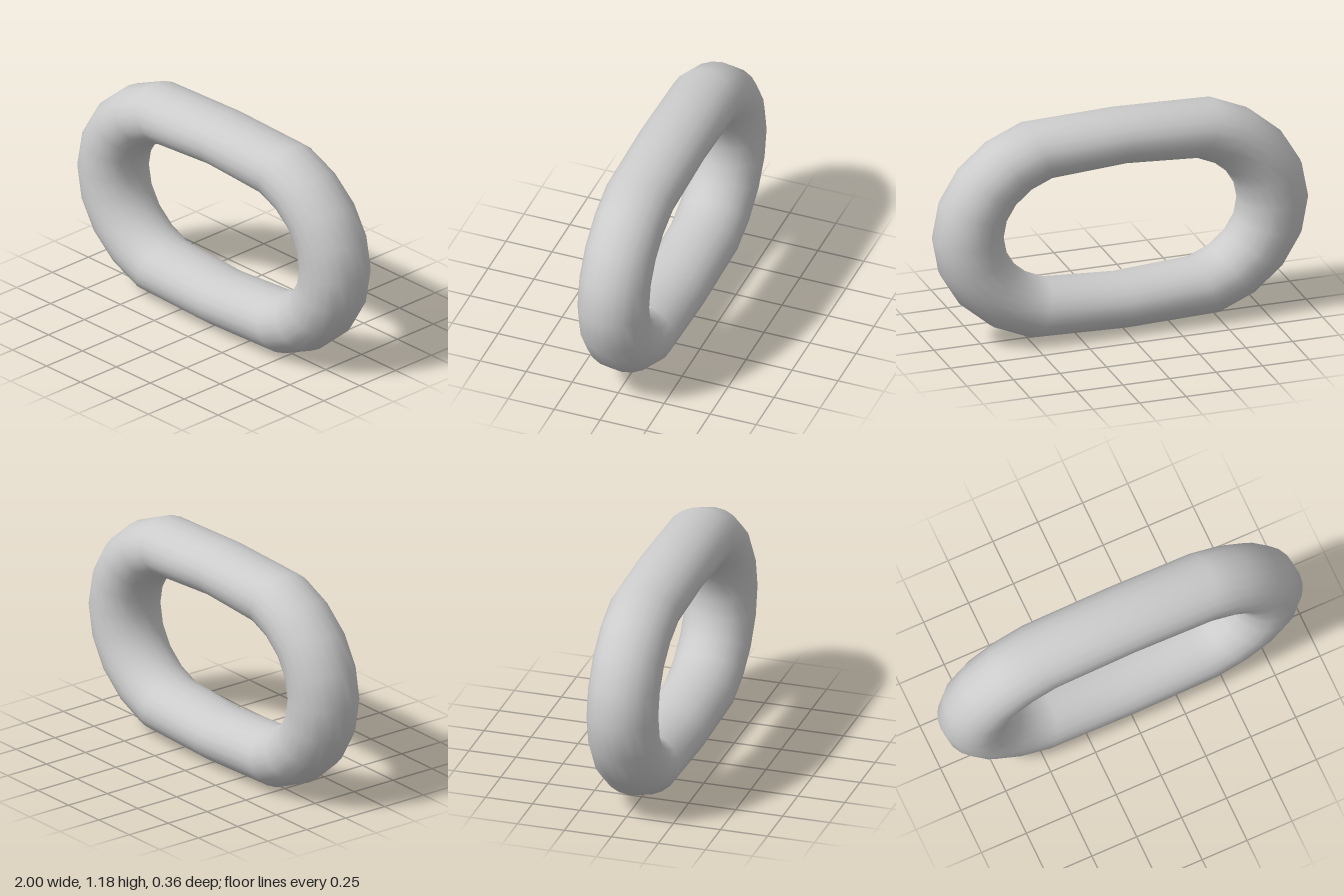
import * as THREE from 'three';
import { mergeVertices } from 'three/addons/utils/BufferGeometryUtils.js';

export function createModel() {
  const group = new THREE.Group();
  group.name = 'chainLink';

  const ringRadius = 0.536, tubeRadius = 0.182;
  const halfSpread = 0.282; // each end is pushed outward by this much
  const squash = 0.844;     // height relative to width of the end curves
  const centerY = 0.591;

  // Low-segment torus, pulled apart into a long link
  const torus = new THREE.TorusGeometry(ringRadius, tubeRadius, 20, 20);
  torus.deleteAttribute('uv');
  torus.deleteAttribute('normal');
  const pos = torus.attributes.position;
  for (let i = 0; i < pos.count; i++) {
    const x = pos.getX(i), y = pos.getY(i);
    if (Math.abs(x) < 1e-5) {
      // Middle rings stay at the centre and are slightly flatter
      const offset = Math.abs(y) - ringRadius;
      pos.setX(i, 0);
      pos.setY(i, Math.sign(y) * (0.451 + offset * 0.14 / tubeRadius));
    } else {
      pos.setX(i, x + Math.sign(x) * halfSpread);
      pos.setY(i, y * squash);
    }
  }

  // Weld the seams so the shading is smooth all round
  const geometry = mergeVertices(torus, 1e-4);
  geometry.computeVertexNormals();

  const link = new THREE.Mesh(geometry, new THREE.MeshStandardMaterial({ color: 0xcccccc }));
  link.name = 'link';
  link.position.y = centerY;
  group.add(link);
  return group;
}
